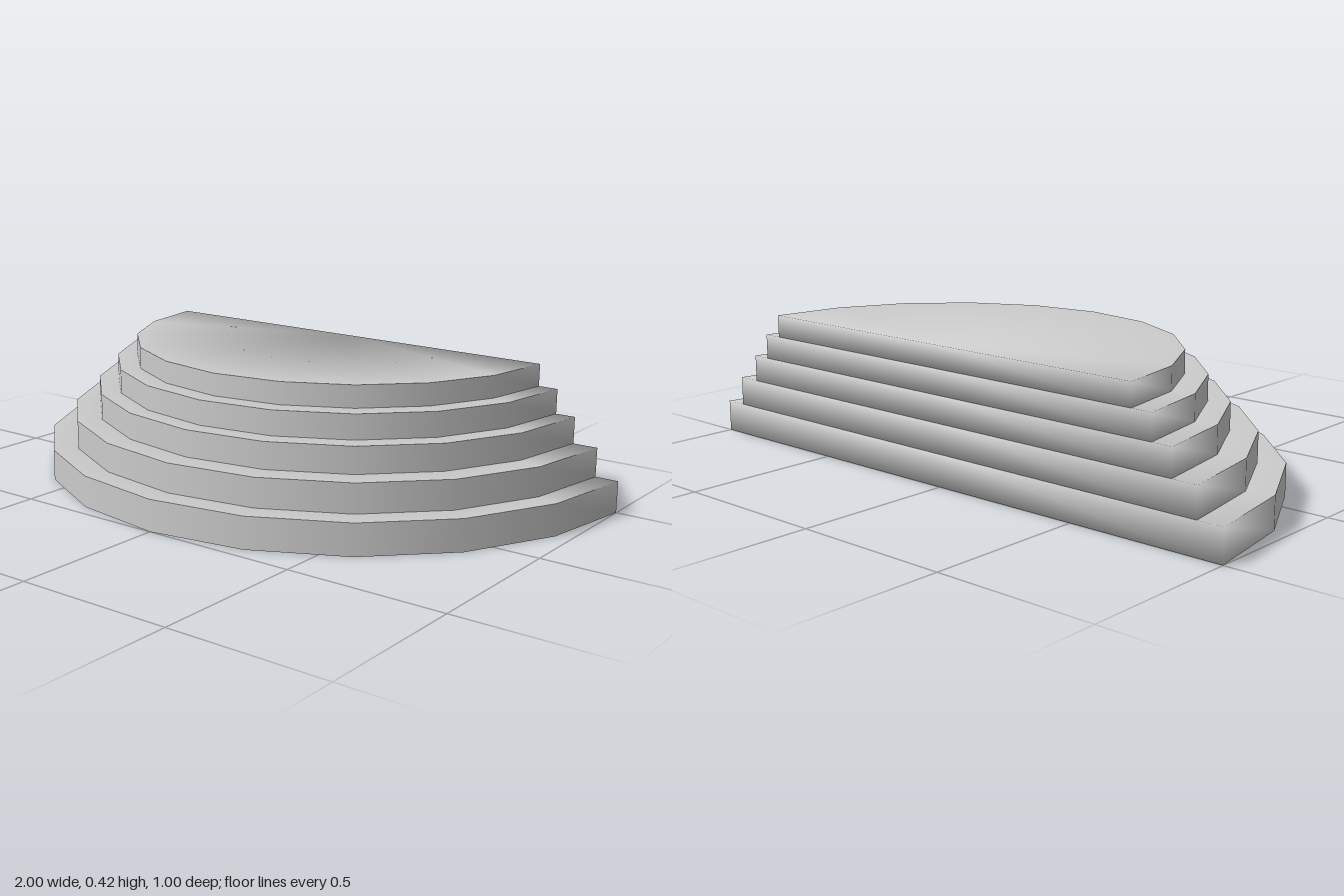
import * as THREE from 'three';

const SEGMENTS = 10;
const BACK_Z = -0.5;

// Half-round slab: fan caps, smooth curved wall, and a back edge softened into the caps.
function halfDisc(radius, y0, y1) {
  const positions = [], normals = [], index = [];
  const outline = []; // curved rim from +x round the front to -x, then the back centre
  for (let i = 0; i <= SEGMENTS; i++) {
    const a = (i / SEGMENTS) * Math.PI;
    outline.push({ x: Math.cos(a), z: Math.sin(a), corner: i === 0 || i === SEGMENTS });
  }
  outline.push({ x: 0, z: 0, centre: true });
  const n = outline.length;

  // Vertex rows: wall bottom, wall top, cap bottom, cap top
  for (const cap of [false, true]) {
    for (const up of [-1, 1]) {
      for (const p of outline) {
        positions.push(p.x * radius, up < 0 ? y0 : y1, p.z * radius + BACK_Z);
        const normal = new THREE.Vector3();
        if (p.centre) normal.set(0, up, -1);
        else if (p.corner) normal.set(p.x, up, -1);
        else if (cap) normal.set(0, up, 0);
        else normal.set(p.x, 0, p.z);
        normals.push(...normal.normalize().toArray());
      }
    }
  }

  // Wall, including the flat back
  for (let i = 0; i < n; i++) {
    const j = (i + 1) % n;
    index.push(i, n + i, n + j, i, n + j, j);
  }
  // Caps fan out from the back centre
  const bottom = 2 * n, top = 3 * n, c = n - 1;
  for (let i = 0; i < SEGMENTS; i++) {
    index.push(bottom + c, bottom + i, bottom + i + 1);
    index.push(top + c, top + i + 1, top + i);
  }

  const geometry = new THREE.BufferGeometry();
  geometry.setAttribute('position', new THREE.Float32BufferAttribute(positions, 3));
  geometry.setAttribute('normal', new THREE.Float32BufferAttribute(normals, 3));
  geometry.setIndex(index);
  return geometry;
}

export function createModel() {
  const group = new THREE.Group();
  group.name = 'halfRoundSteps';
  const material = new THREE.MeshStandardMaterial({ color: 0xcccccc });

  // Tiers from the ground up: radius, top height, small sideways offset
  const tiers = [
    [1.0, 0.1, 0],
    [0.922, 0.192, 0.004],
    [0.842, 0.276, 0.005],
    [0.778, 0.354, 0.006],
    [0.713, 0.424, 0.008],
  ];
  let base = 0;
  tiers.forEach(([radius, top, offset], i) => {
    const step = new THREE.Mesh(halfDisc(radius, base, top), material);
    step.name = `step${i + 1}`;
    step.position.x = offset;
    group.add(step);
    base = top;
  });
  return group;
}
